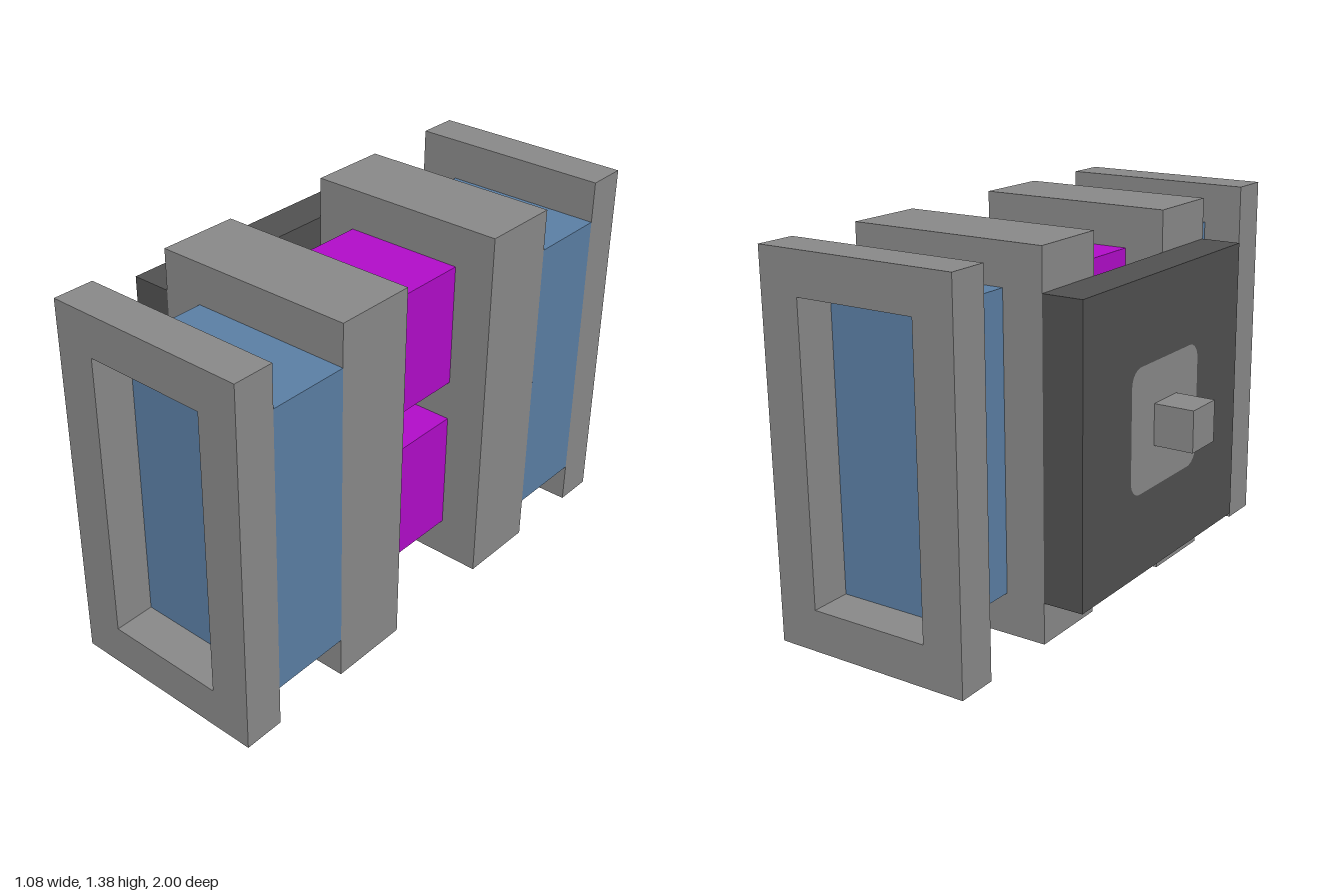
import * as THREE from 'three';

const U = 2 / 13; // grid module: the model is 7 x 9 x 13 units

const grey = new THREE.MeshStandardMaterial({ name: 'grey', color: 0x888888 });
const dark = new THREE.MeshStandardMaterial({ name: 'darkGrey', color: 0x505050 });
const blue = new THREE.MeshStandardMaterial({ name: 'blue', color: 0x5a7ea3 });
const magenta = new THREE.MeshStandardMaterial({ name: 'magenta', color: 0xb00cc8 });

// Box given by its limits, in grid modules
function box(name, mat, [x0, x1], [y0, y1], [z0, z1]) {
  const m = new THREE.Mesh(new THREE.BoxGeometry((x1 - x0) * U, (y1 - y0) * U, (z1 - z0) * U), mat);
  m.position.set((x0 + x1) / 2 * U, (y0 + y1) / 2 * U, (z0 + z1) / 2 * U);
  m.name = name;
  return m;
}

// Rectangle outline
function rect(path, x0, y0, x1, y1) {
  path.moveTo(x0, y0).lineTo(x1, y0).lineTo(x1, y1).lineTo(x0, y1).closePath();
  return path;
}

// Square outline with rounded corners, centred on (0, cy)
function roundedSquare(path, cy, h, r) {
  path.moveTo(-h + r, cy - h);
  path.absarc(h - r, cy - h + r, r, -Math.PI / 2, 0);
  path.absarc(h - r, cy + h - r, r, 0, Math.PI / 2);
  path.absarc(-h + r, cy + h - r, r, Math.PI / 2, Math.PI);
  path.absarc(-h + r, cy - h + r, r, Math.PI, Math.PI * 1.5);
  return path;
}

function extrude(name, mat, shape) {
  const geo = new THREE.ExtrudeGeometry(shape, { depth: U, bevelEnabled: false, curveSegments: 4 });
  const m = new THREE.Mesh(geo, mat);
  m.name = name;
  return m;
}

export function createModel() {
  const g = new THREE.Group();
  g.name = 'model';

  // Mirrored ends: open frame, blue core and thick grey block
  for (const s of [1, -1]) {
    const side = s > 0 ? 'front' : 'back';
    const span = (a, b) => (s > 0 ? [a, b] : [-b, -a]);
    const shape = rect(new THREE.Shape(), -1.5 * U, 0, 3.5 * U, 9 * U);
    shape.holes.push(rect(new THREE.Path(), -0.5 * U, U, 2.5 * U, 8 * U));
    const frame = extrude(side + 'EndFrame', grey, shape);
    frame.position.z = s > 0 ? 5.5 * U : -6.5 * U;
    g.add(frame);
    g.add(box(side + 'Core', blue, [-0.5, 3.5], [1, 8], span(3.5, 5.5)));
    g.add(box(side + 'Block', grey, [-1.5, 3.5], [0, 9], span(1.5, 3.5)));
  }

  // Two magenta bars joining the blocks
  g.add(box('lowerBar', magenta, [-0.5, 2.5], [1, 4], [-1.5, 1.5]));
  g.add(box('upperBar', magenta, [-0.5, 2.5], [5, 8], [-1.5, 1.5]));

  // Side panel with a rounded inset, and the peg
  const panelShape = rect(new THREE.Shape(), -3.5 * U, U, 3.5 * U, 8 * U);
  panelShape.holes.push(roundedSquare(new THREE.Path(), 4.5 * U, 1.5 * U, 0.06));
  const panel = extrude('sidePanel', dark, panelShape);
  const inset = extrude('panelInset', grey, roundedSquare(new THREE.Shape(), 4.5 * U, 1.5 * U, 0.06));
  for (const m of [panel, inset]) {
    m.rotation.y = Math.PI / 2;
    m.position.x = -2.5 * U;
    g.add(m);
  }
  g.add(box('peg', grey, [-3.5, -2.5], [4, 5], [-0.5, 0.5]));
  return g;
}
